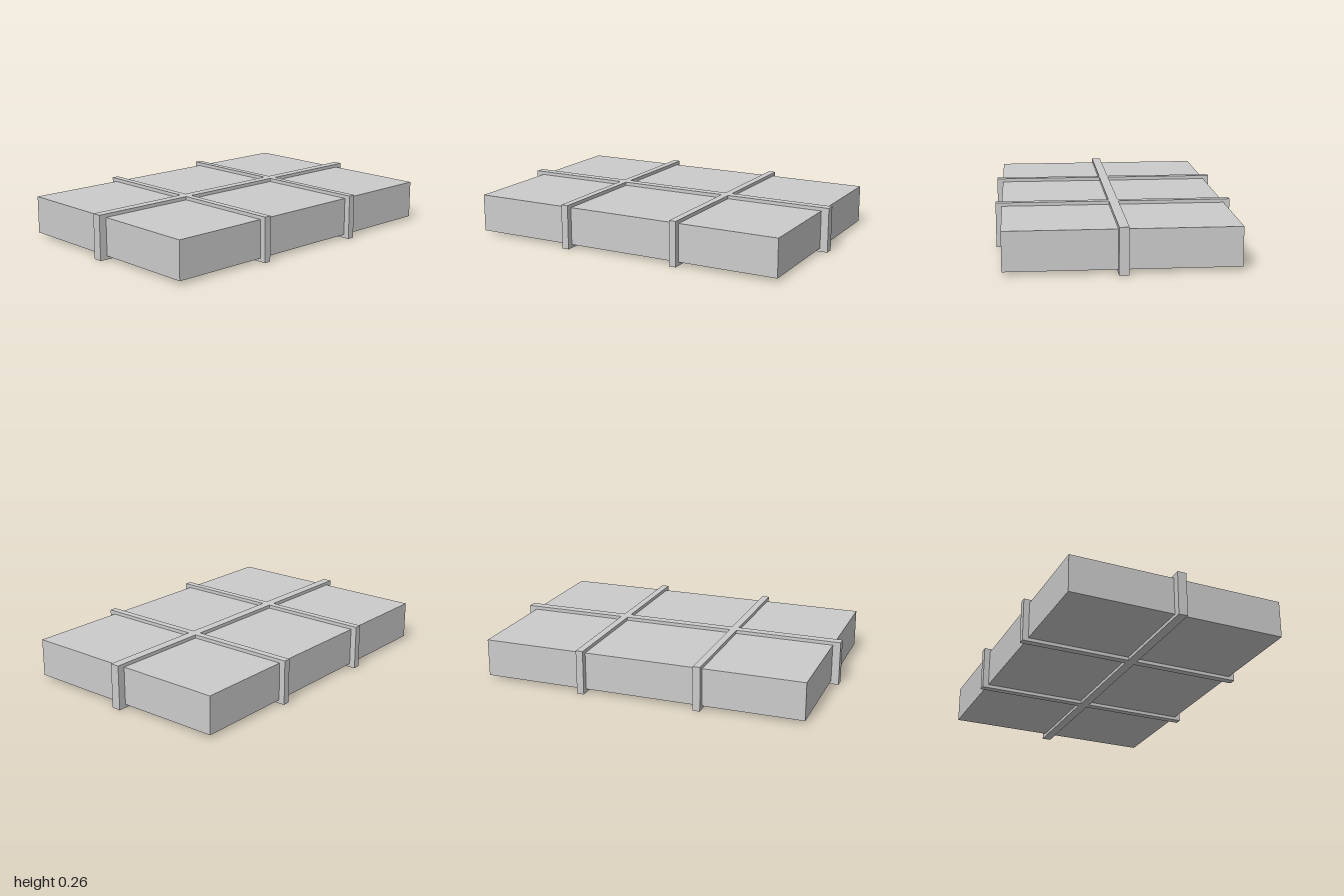
import * as THREE from 'three';

const HEIGHT = 0.26;
const BAND = 0.02; // band thickness above and below the block

// Rectangular hoop standing in the XY plane, centred on the origin in x and z
function hoop(length, inner, width) {
  const rect = (target, half, y0, y1) => {
    target.moveTo(-half, y0);
    target.lineTo(half, y0);
    target.lineTo(half, y1);
    target.lineTo(-half, y1);
    target.closePath();
    return target;
  };
  const shape = rect(new THREE.Shape(), length / 2, 0, HEIGHT);
  shape.holes.push(rect(new THREE.Path(), inner / 2, BAND, HEIGHT - BAND));
  const geometry = new THREE.ExtrudeGeometry(shape, { depth: width, bevelEnabled: false });
  return geometry.translate(0, 0, -width / 2);
}

export function createModel() {
  const group = new THREE.Group();
  const material = new THREE.MeshStandardMaterial({ color: 0xcccccc, flatShading: true });
  const add = (name, geometry) => {
    const mesh = new THREE.Mesh(geometry, material);
    mesh.name = name;
    group.add(mesh);
    return mesh;
  };

  // Flat rectangular block
  const size = { x: 1.91, y: HEIGHT - 2 * BAND, z: 1.28 };
  add('block', new THREE.BoxGeometry(size.x, size.y, size.z)).position.y = HEIGHT / 2;

  // One band lengthwise
  add('longBand', hoop(2, size.x, 0.054));

  // Two bands crosswise
  for (const [name, x] of [['rightCrossBand', -0.351], ['leftCrossBand', 0.349]]) {
    const band = add(name, hoop(1.35, size.z, 0.042));
    band.rotation.y = Math.PI / 2;
    band.position.x = x;
  }
  return group;
}
